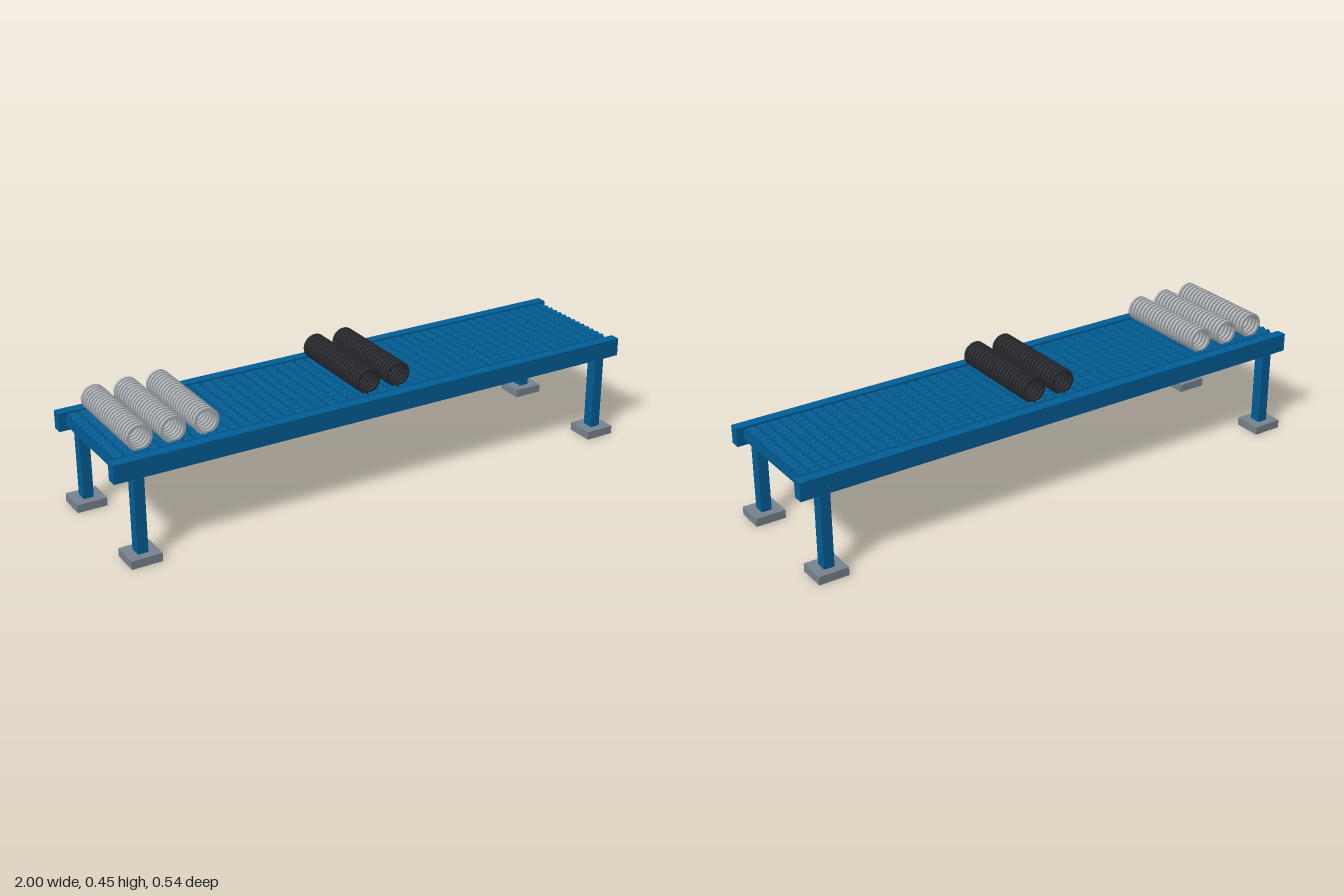
import * as THREE from 'three';
import { mergeGeometries } from 'three/addons/utils/BufferGeometryUtils.js';

const material = (name, color) => {
  const m = new THREE.MeshStandardMaterial({ color });
  m.name = name;
  return m;
};

// Flat ring with sharp edges, lying around the z axis
function flatRing(inner, outer, width) {
  const h = width / 2;
  const corners = [[outer, -h], [outer, h], [inner, h], [inner, -h]].map(([r, y]) => new THREE.Vector2(r, y));
  const sides = corners.map((c, i) => new THREE.LatheGeometry([c, corners[(i + 1) % 4]], 32));
  return mergeGeometries(sides).rotateX(Math.PI / 2);
}

export function createModel() {
  const blue = material('blue steel', 0x005f98);
  const footGray = material('foot gray', 0x78858f);
  const coilGray = material('coil gray', 0xb0b4b8);
  const coilBlack = material('coil black', 0x2a2c30);

  const model = new THREE.Group();
  model.name = 'rollerTable';
  const add = (name, geometry, mat, x = 0, y = 0, z = 0) => {
    const mesh = new THREE.Mesh(geometry, mat);
    mesh.name = name;
    mesh.position.set(x, y, z);
    model.add(mesh);
  };

  // Foot plate with an opening that the leg passes through
  const legW = 0.037, legD = 0.042;
  const w = 0.0545, d = 0.051, hw = legW / 2, hd = legD / 2;
  const plate = new THREE.Shape();
  plate.moveTo(-w, -d).lineTo(w, -d).lineTo(w, d).lineTo(-w, d).closePath();
  const hole = new THREE.Path();
  hole.moveTo(-hw, -hd).lineTo(-hw, hd).lineTo(hw, hd).lineTo(hw, -hd).closePath();
  plate.holes.push(hole);
  const foot = new THREE.ExtrudeGeometry(plate, { depth: 0.03, bevelEnabled: false });
  foot.rotateX(-Math.PI / 2);

  // Side rails, legs and feet
  const rail = new THREE.BoxGeometry(2, 0.066, 0.037);
  const leg = new THREE.BoxGeometry(legW, 0.32, legD);
  for (const sz of [-1, 1]) {
    add('sideRail', rail, blue, 0, 0.33, sz * 0.2215);
    for (const sx of [-1, 1]) {
      add('leg', leg, blue, sx * 0.916, 0.16, sz * 0.2205);
      add('foot', foot, footGray, sx * 0.916, 0, sz * 0.2205);
    }
  }

  // Cross bars, each carrying a row of small rollers
  const bars = 48, rollersPerBar = 14, pitch = 0.0408;
  const barParts = [], rollerParts = [];
  const bar = new THREE.BoxGeometry(0.03, 0.031, 0.406);
  const roller = new THREE.CylinderGeometry(0.0125, 0.0125, 0.03, 16);
  roller.rotateZ(Math.PI / 2);
  for (let i = 0; i < bars; i++) {
    const x = (i - (bars - 1) / 2) * pitch;
    barParts.push(bar.clone().translate(x, 0.3315, 0));
    for (let j = 0; j < rollersPerBar; j++) {
      const z = (j - (rollersPerBar - 1) / 2) * 0.0275;
      rollerParts.push(roller.clone().translate(x, 0.3545, z));
    }
  }
  add('crossBars', mergeGeometries(barParts), blue);
  add('rollers', mergeGeometries(rollerParts), blue);

  // Ring stacks resting across the table
  const ring = flatRing(0.035, 0.0455, 0.01);
  const rings = [];
  for (let i = -10; i <= 10; i++) rings.push(ring.clone().translate(0, 0, i * 0.0177));
  const stack = mergeGeometries(rings);
  for (const x of [-0.88, -0.763, -0.645]) add('grayCoil', stack, coilGray, x, 0.4065);
  for (const x of [-0.035, 0.083]) add('blackCoil', stack, coilBlack, x, 0.4065);

  return model;
}
